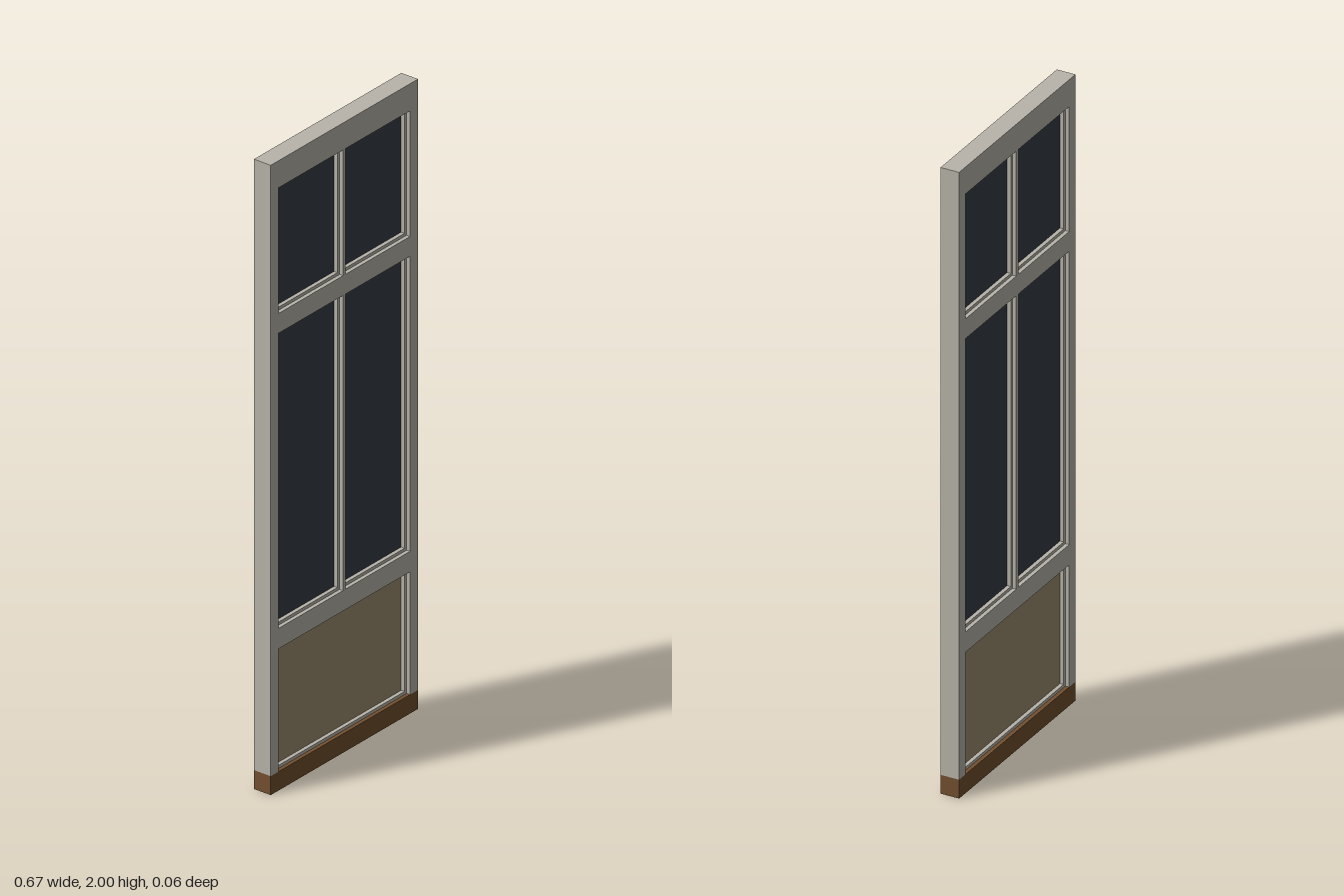
import * as THREE from 'three';

const W = 0.333, H = 2, D = 0.06, SILL = 0.06; // half width, height, depth, kick rail height
const OPEN = 0.297, BEAD = 0.01;               // half opening width, glazing bead width

const mat = (name, color) => Object.assign(new THREE.MeshStandardMaterial({ color }), { name });

function rectPath(x0, y0, x1, y1, Type = THREE.Path) {
  const p = new Type();
  p.moveTo(x0, y0);
  p.lineTo(x1, y0);
  p.lineTo(x1, y1);
  p.lineTo(x0, y1);
  p.closePath();
  return p;
}

function extrude(shape, depth) {
  const g = new THREE.ExtrudeGeometry(shape, { depth, bevelEnabled: false });
  g.translate(0, 0, -depth / 2);
  return g;
}

export function createModel() {
  const paint = mat('frame paint', 0xb8b4aa);
  const glassMat = mat('dark glass', 0x363c44);
  const panelMat = mat('tan panel', 0x9c8c6e);
  const wood = mat('brown wood', 0x73502f);

  const door = new THREE.Group();
  door.name = 'door';
  const add = (name, geometry, material) => {
    const m = new THREE.Mesh(geometry, material);
    m.name = name;
    door.add(m);
  };

  // Glazed openings [left, bottom, right, top], mirrored about the centre bar
  const panes = [];
  for (const [y0, y1] of [[0.515, 1.452], [1.515, 1.914]]) {
    panes.push([-OPEN, y0, -0.006, y1], [0.006, y0, OPEN, y1]);
  }
  const lower = [-OPEN, SILL, OPEN, 0.45];

  // Frame with stiles, rails and centre bars, open at the bottom for the panel
  const frame = new THREE.Shape([
    [-W, SILL], [-OPEN, SILL], [-OPEN, lower[3]], [OPEN, lower[3]],
    [OPEN, SILL], [W, SILL], [W, H], [-W, H],
  ].map(([x, y]) => new THREE.Vector2(x, y)));
  panes.forEach(p => frame.holes.push(rectPath(...p)));
  add('frame', extrude(frame, D), paint);

  // Stepped bead and thin infill for every opening
  const fill = (name, [x0, y0, x1, y1], material) => {
    const inner = [x0 + BEAD, y0 + BEAD, x1 - BEAD, y1 - BEAD];
    const bead = rectPath(x0, y0, x1, y1, THREE.Shape);
    bead.holes.push(rectPath(...inner));
    add(name + 'Bead', extrude(bead, 0.036), paint);
    add(name, extrude(rectPath(...inner, THREE.Shape), 0.012), material);
  };
  panes.forEach(p => fill('glassPane', p, glassMat));
  fill('lowerPanel', lower, panelMat);

  // Wooden kick rail
  const rail = new THREE.BoxGeometry(2 * W, SILL, D);
  rail.translate(0, SILL / 2, 0);
  add('kickRail', rail, wood);

  return door;
}
